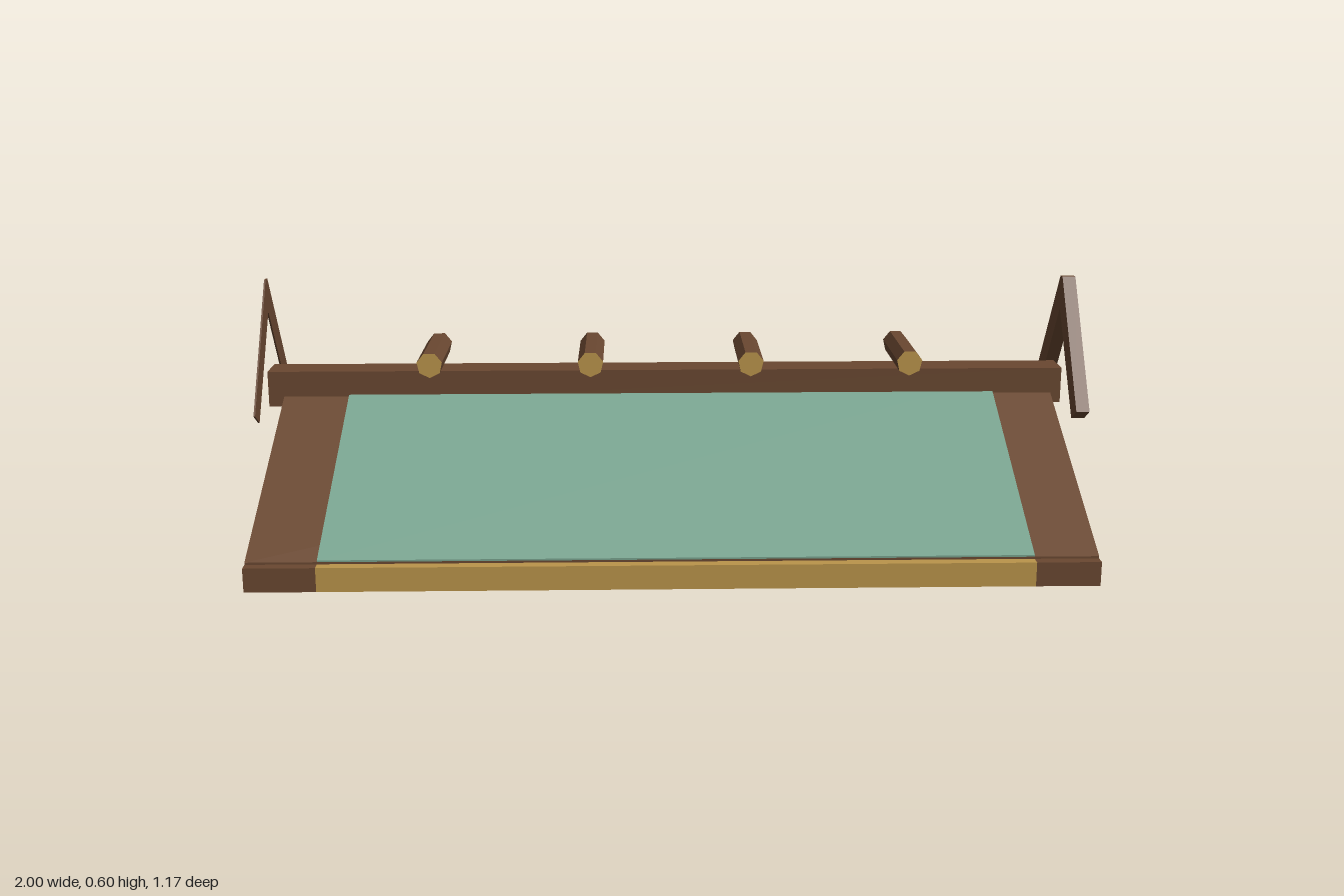
import * as THREE from 'three';

const brown = new THREE.MeshStandardMaterial({ color: 0x6a4831 });
brown.name = 'brown timber';
const teal = new THREE.MeshStandardMaterial({ color: 0x78a38f });
teal.name = 'teal roofing';
const gold = new THREE.MeshStandardMaterial({ color: 0xbb954b });
gold.name = 'golden trim';

export function createModel() {
  const model = new THREE.Group();
  model.name = 'gableRoof';

  const add = (name, geometry, material) => {
    const mesh = new THREE.Mesh(geometry, material);
    mesh.name = name;
    model.add(mesh);
    return mesh;
  };

  // Extrudes a [z, y] profile along x, from x0 to x1
  const prism = (name, points, x0, x1, material) => {
    const shape = new THREE.Shape(points.map(([z, y]) => new THREE.Vector2(z, y)));
    const geometry = new THREE.ExtrudeGeometry(shape, { depth: x1 - x0, bevelEnabled: false });
    geometry.rotateY(-Math.PI / 2).translate(x1, 0, 0);
    return add(name, geometry, material);
  };

  // Box given by its limits on each axis
  const block = (name, [x0, x1], [y0, y1], [z0, z1], material) => {
    const geometry = new THREE.BoxGeometry(x1 - x0, y1 - y0, z1 - z0);
    geometry.translate((x0 + x1) / 2, (y0 + y1) / 2, (z0 + z1) / 2);
    return add(name, geometry, material);
  };

  const left = 0.945, right = -0.96, panel = 0.8;

  // Folded roof slab
  prism('roofSlab', [
    [0, 0.33], [0.56, 0.061], [0.56, 0.012], [0, 0.283], [-0.585, 0], [-0.57, 0.056],
  ], right, left, brown);

  // Teal covering on both slopes
  const t = 0.004;
  prism('frontRoofing', [[0, 0.33], [0.56, 0.061], [0.56, 0.061 + t], [0, 0.33 + t]], -panel, panel, teal);
  prism('backRoofing', [[0, 0.33], [-0.57, 0.056], [-0.57, 0.056 + t], [0, 0.33 + t]], -panel, panel, teal);

  // Back eave trim
  prism('backEaveTrim', [[-0.57, 0.056], [-0.585, 0], [-0.589, 0.001], [-0.574, 0.057]], -panel, panel, gold);

  // Front eave beam: brown ends, golden middle
  const beamY = [0, 0.056], beamZ = [0.535, 0.585];
  block('frontEaveEnd', [right, -panel], beamY, beamZ, brown);
  block('frontEaveTrim', [-panel, panel], beamY, beamZ, gold);
  block('frontEaveEnd', [panel, left], beamY, beamZ, brown);

  // Inset gable walls
  const gable = [[0.485, 0.048], [0, 0.283], [-0.485, 0.048]];
  prism('leftGable', gable, 0.84, 0.87, brown);
  prism('rightGable', gable, -0.885, -0.855, brown);

  // Ridge beam
  block('ridgeBeam', [-0.998, 0.97], [0.285, 0.373], [-0.042, 0.042], brown);

  // Crossed finials at the ridge ends
  const finial = [
    [0.01, 0.597], [0.212, 0.304], [0.168, 0.277], [0, 0.516],
    [-0.168, 0.277], [-0.212, 0.304], [-0.01, 0.597],
  ];
  prism('leftFinial', finial, 0.968, 1, brown);
  prism('rightFinial', finial, -1, -0.996, brown);

  // Seven-sided ridge logs with golden ends
  for (const x of [-0.59, -0.2, 0.19, 0.577]) {
    const log = new THREE.CylinderGeometry(0.0315, 0.0315, 0.24, 7).toNonIndexed();
    log.computeVertexNormals();
    log.rotateX(Math.PI / 2).translate(x, 0.4055, 0);
    add('ridgeLog', log, [brown, gold, gold]);
  }

  return model;
}
